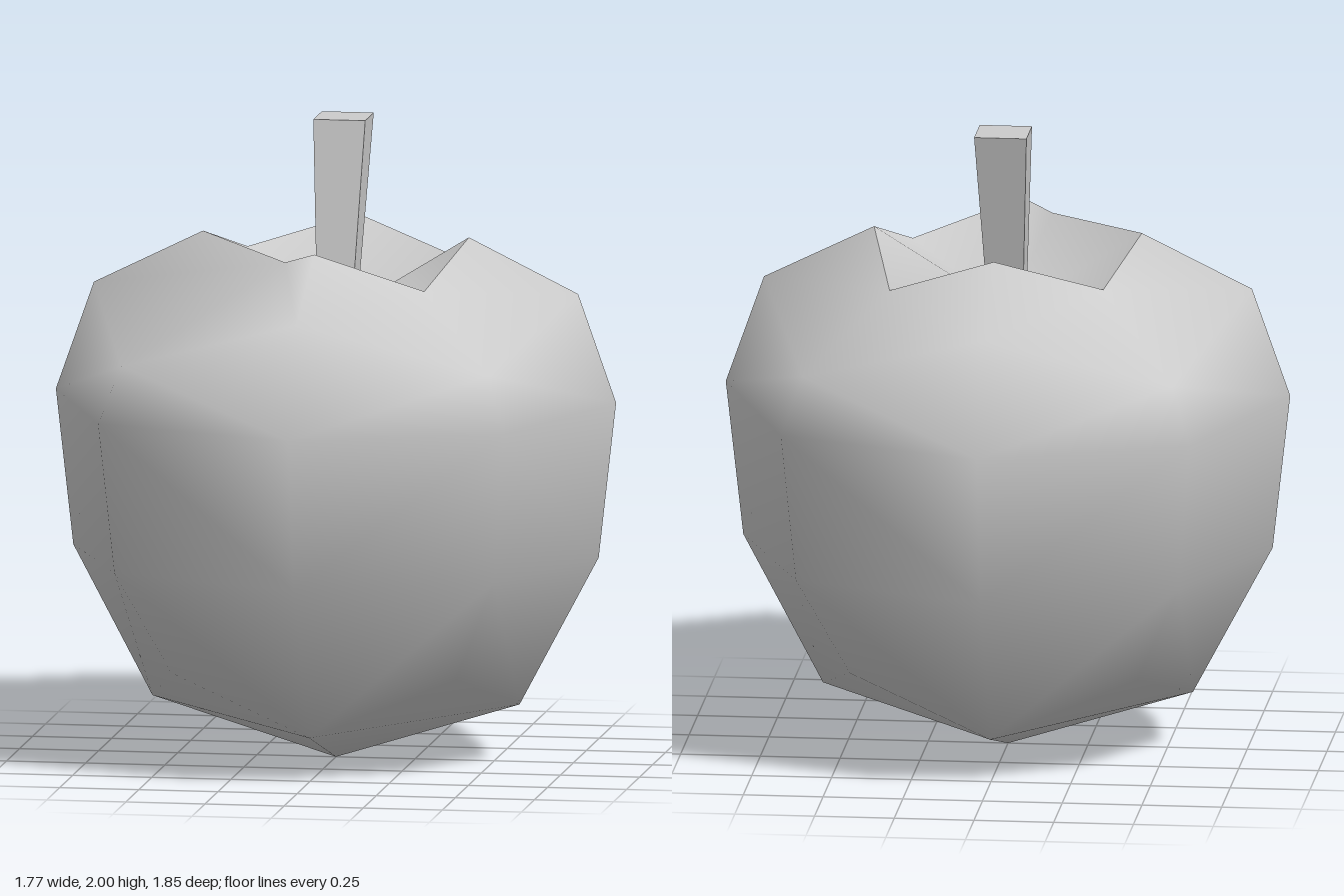
import * as THREE from 'three';

// Eight-sided rings, bottom to top: [side x, side y, front z, front y, diagonal x, diagonal y, diagonal z]
const RINGS = [
  [0.58, 0.18, 0.52, 0.14, 0.45, 0.32, 0.43],
  [0.83, 0.65, 0.82, 0.65, 0.60, 0.66, 0.61],
  [0.885, 1.14, 0.927, 1.14, 0.64, 1.14, 0.68],
  [0.765, 1.48, 0.765, 1.48, 0.58, 1.31, 0.60],
  [0.42, 1.65, 0.42, 1.65, 0.335, 1.53, 0.34],
];

function ringPoints([sx, sy, fz, fy, dx, dy, dz]) {
  const points = [];
  for (let i = 0; i < 8; i++) {
    const a = (i * Math.PI) / 4;
    const u = Math.round(Math.sin(a)), v = Math.round(Math.cos(a));
    if (u && v) points.push([u * dx, dy, v * dz]);
    else points.push(u ? [u * sx, sy, 0] : [0, fy, v * fz]);
  }
  return points;
}

function meshFrom(name, points, index, material) {
  const geometry = new THREE.BufferGeometry();
  geometry.setAttribute('position', new THREE.Float32BufferAttribute(points.flat(), 3));
  geometry.setIndex(index);
  geometry.computeVertexNormals();
  const mesh = new THREE.Mesh(geometry, material);
  mesh.name = name;
  return mesh;
}

export function createModel() {
  const group = new THREE.Group();
  group.name = 'apple';
  const skin = new THREE.MeshStandardMaterial({ color: 0xcccccc, side: THREE.DoubleSide });

  const rings = RINGS.map(ringPoints);
  const rim = rings[rings.length - 1];
  rim[7] = [-0.1, 1.615, 0.37]; // uneven corner of the rim
  rim[5][1] = 1.55;

  // Body: quads between rings, split outward from the straight sides
  const index = [];
  for (let r = 0; r < rings.length - 1; r++) {
    for (let i = 0; i < 8; i++) {
      const j = (i + 1) % 8;
      const a = r * 8 + i, b = r * 8 + j, c = b + 8, d = a + 8;
      if (i % 2 === 0) index.push(a, b, c, a, c, d);
      else index.push(a, b, d, b, c, d);
    }
  }
  // Base: four ridges meeting at the lowest point
  const base = rings.length * 8;
  for (let i = 0; i < 8; i += 2) {
    const j = (i + 2) % 8;
    index.push(base, j, i, i, j, i + 1);
  }
  group.add(meshFrom('body', [...rings.flat(), [0, 0, 0]], index, skin));

  // Dimple around the stem
  const fan = [];
  for (let i = 0; i < 8; i++) fan.push(8, i, (i + 1) % 8);
  group.add(meshFrom('dimple', [...rim, [0, 1.39, 0]], fan, skin));

  // Stem: tapered square post leaning backwards
  const bottom = 1.38, height = 2 - bottom;
  const stemGeometry = new THREE.CylinderGeometry(0.082 * Math.SQRT2, 0.053 * Math.SQRT2, height, 4);
  stemGeometry.rotateY(Math.PI / 4);
  stemGeometry.translate(0, bottom + height / 2, 0);
  const p = stemGeometry.attributes.position;
  for (let i = 0; i < p.count; i++) {
    p.setZ(i, p.getZ(i) - 0.015 - 0.21 * (p.getY(i) - bottom));
  }
  const stem = new THREE.Mesh(
    stemGeometry,
    new THREE.MeshStandardMaterial({ color: 0xcccccc, flatShading: true })
  );
  stem.name = 'stem';
  group.add(stem);

  return group;
}
